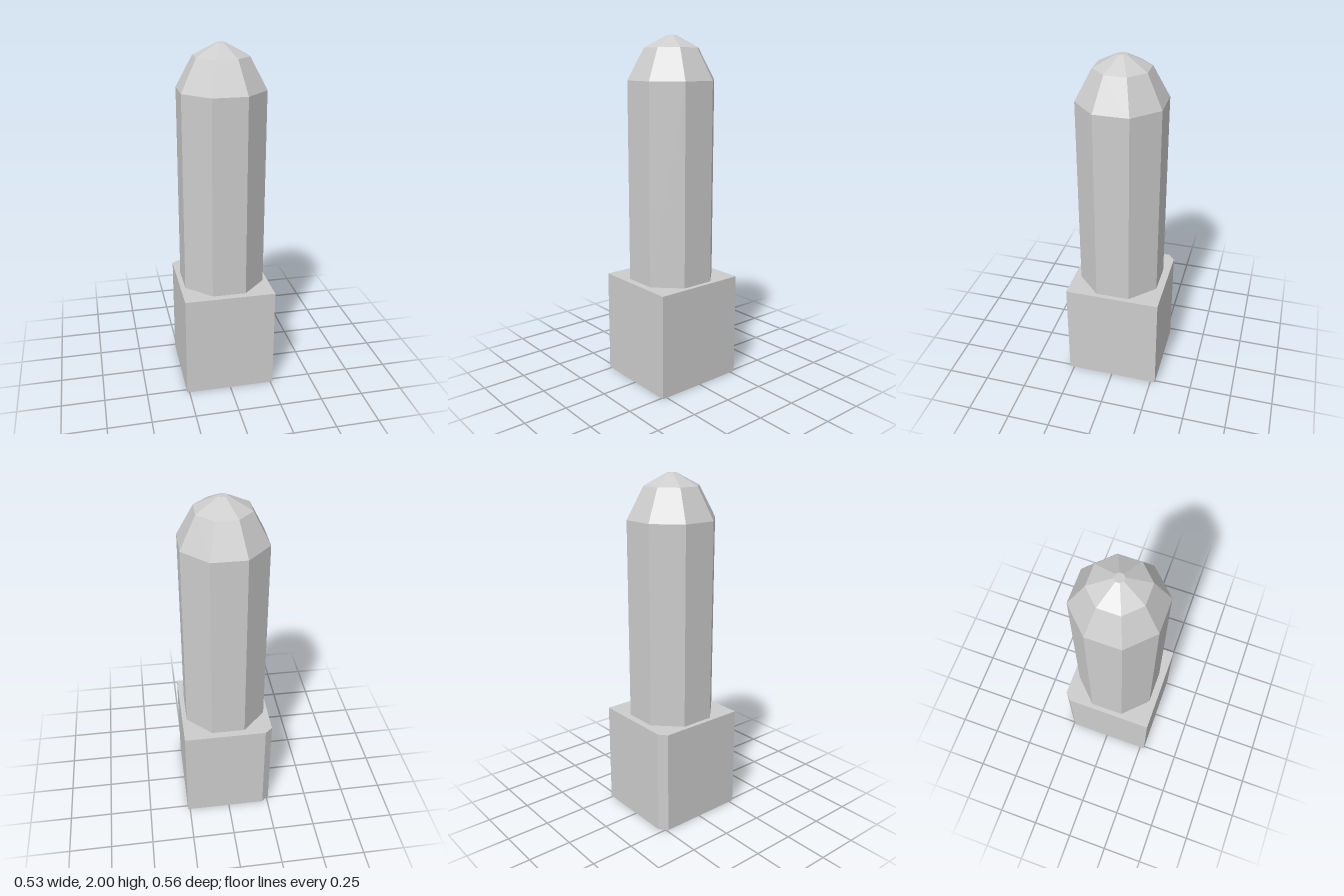
import * as THREE from 'three';

const stone = new THREE.MeshStandardMaterial({ color: 0xcccccc, flatShading: true, side: THREE.DoubleSide });
stone.name = 'pale grey';

const BASE_TOP = 0.61, SHAFT_TOP = 1.755;
// Radius to the corners of an octagon, given the distance to its flats
const corner = (flat) => flat / Math.cos(Math.PI / 8);

function part(name, geometry) {
  const mesh = new THREE.Mesh(geometry, stone);
  mesh.name = name;
  return mesh;
}

// Upright walls around a closed outline of [x, z] points
function wallGeometry(outline, height) {
  const pos = [];
  outline.forEach(([x0, z0], i) => {
    const [x1, z1] = outline[(i + 1) % outline.length];
    pos.push(x0, 0, z0, x1, 0, z1, x1, height, z1);
    pos.push(x0, 0, z0, x1, height, z1, x0, height, z0);
  });
  const geometry = new THREE.BufferGeometry();
  geometry.setAttribute('position', new THREE.Float32BufferAttribute(pos, 3));
  geometry.computeVertexNormals();
  return geometry;
}

export function createModel() {
  const group = new THREE.Group();
  group.name = 'pillar';

  // Plinth: open underneath, one back corner cut off
  const outline = [[-0.264, 0.277], [0.263, 0.277], [0.263, -0.278], [-0.218, -0.278], [-0.262, -0.24]];
  group.add(part('plinthWalls', wallGeometry(outline, BASE_TOP)));
  const shape = new THREE.Shape(outline.map(([x, z]) => new THREE.Vector2(x, -z)));
  const top = new THREE.ShapeGeometry(shape).rotateX(-Math.PI / 2).translate(0, BASE_TOP, 0);
  group.add(part('plinthTop', top));

  // Eight-sided shaft
  const r = corner(0.235), h = SHAFT_TOP - BASE_TOP;
  const shaft = new THREE.CylinderGeometry(r, r, h, 8, 1, true);
  shaft.rotateY(Math.PI / 8).translate(0, BASE_TOP + h / 2, 0);
  group.add(part('shaft', shaft));

  // Faceted dome with a small flat tip
  const profile = [[0.235, SHAFT_TOP], [0.146, 1.932], [0.025, 2], [0, 2]]
    .map(([flat, y]) => new THREE.Vector2(corner(flat), y));
  group.add(part('dome', new THREE.LatheGeometry(profile, 8, Math.PI / 8)));

  return group;
}
